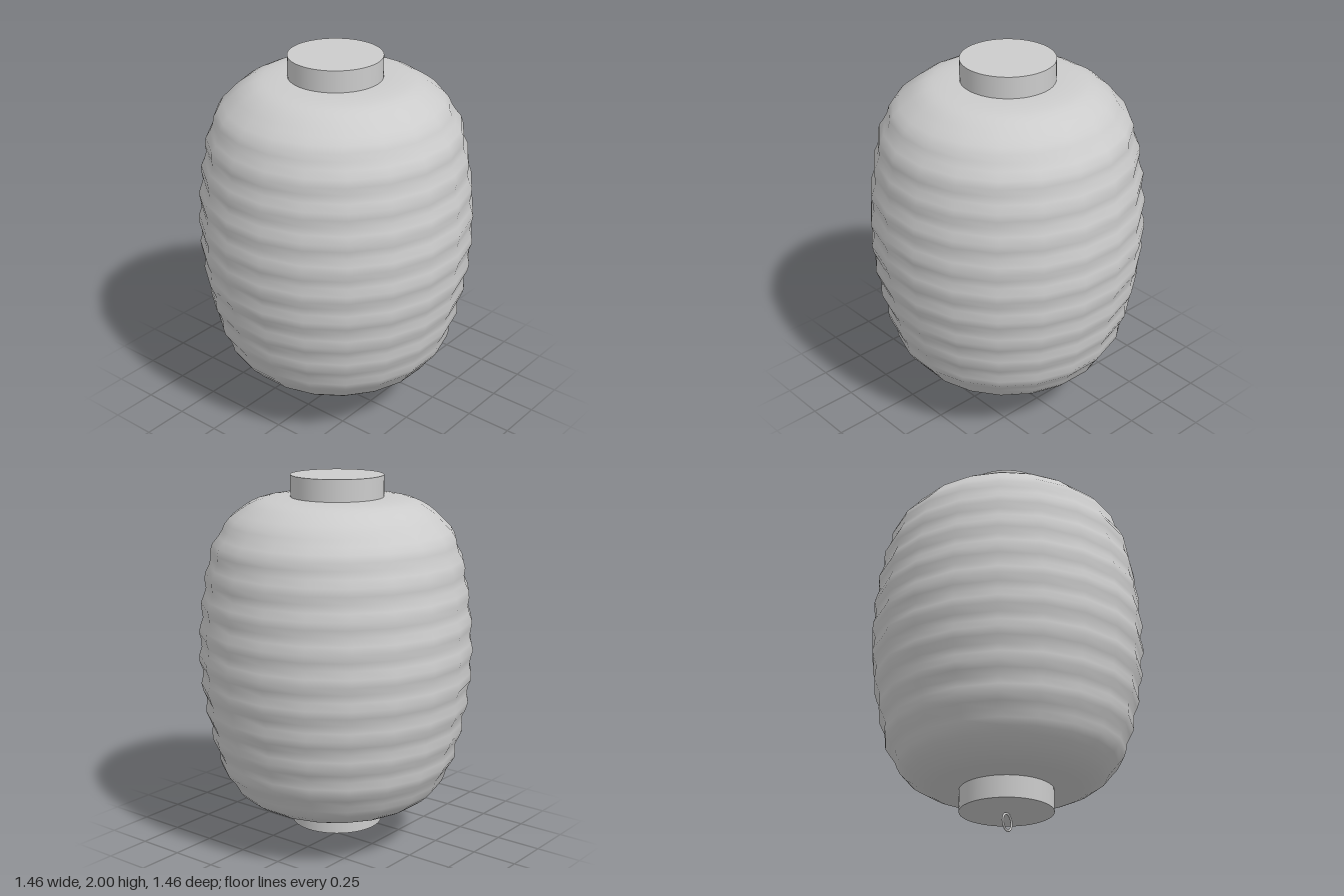
import * as THREE from 'three';
import { mergeVertices } from 'three/addons/utils/BufferGeometryUtils.js';

const SIDES = 20, PITCH = 0.15, RIPPLE = 0.009;

// Paper shade: lathed barrel whose wall ripples along one helical rib
function shadeGeometry() {
  const outline = [
    [0.22, 0.215], [0.39, 0.222], [0.48, 0.258], [0.55, 0.315], [0.62, 0.43],
    [0.66, 0.56], [0.69, 0.7], [0.715, 0.86], [0.727, 1.05], [0.718, 1.25],
    [0.695, 1.43], [0.665, 1.58], [0.63, 1.675], [0.56, 1.775], [0.44, 1.86],
    [0.33, 1.883], [0.22, 1.886],
  ].map(([r, y]) => new THREE.Vector2(r, y));
  const profile = new THREE.SplineCurve(outline).getSpacedPoints(56);
  let geometry = new THREE.LatheGeometry(profile, SIDES, 0.14);

  const p = geometry.attributes.position;
  for (let i = 0; i < p.count; i++) {
    const x = p.getX(i), y = p.getY(i), z = p.getZ(i);
    const r = Math.hypot(x, z);
    // the rib fades out towards the flat shoulders
    const fade = THREE.MathUtils.smoothstep(r, 0.45, 0.64);
    const phase = (y - 1.05) / PITCH * Math.PI * 2 + Math.atan2(z, x);
    const k = 1 + RIPPLE * fade * Math.cos(phase) / r;
    p.setXYZ(i, x * k, y, z * k);
  }
  // weld the seam so that shading is smooth all round
  geometry.deleteAttribute('uv');
  geometry.deleteAttribute('normal');
  geometry = mergeVertices(geometry, 1e-4);
  geometry.computeVertexNormals();
  return geometry;
}

export function createModel() {
  const group = new THREE.Group();
  const material = new THREE.MeshStandardMaterial({ color: 0xcccccc });
  const paper = new THREE.MeshStandardMaterial({ color: 0xcccccc, side: THREE.DoubleSide });

  const add = (name, geometry, mat = material) => {
    const mesh = new THREE.Mesh(geometry, mat);
    mesh.name = name;
    group.add(mesh);
    return mesh;
  };

  add('paperShade', shadeGeometry(), paper);

  // Solid round caps at both ends
  for (const [name, bottom, top] of [['topCap', 1.86, 2], ['bottomCap', 0.1, 0.24]]) {
    const cap = add(name, new THREE.CylinderGeometry(0.245, 0.245, top - bottom, 48));
    cap.position.set(0, (top + bottom) / 2, -0.006);
  }

  // Small hanging ring under the lantern
  const ring = add('tasselRing', new THREE.TorusGeometry(0.044, 0.006, 10, 32));
  ring.rotation.y = Math.PI / 2;
  ring.position.y = 0.05;

  return group;
}
